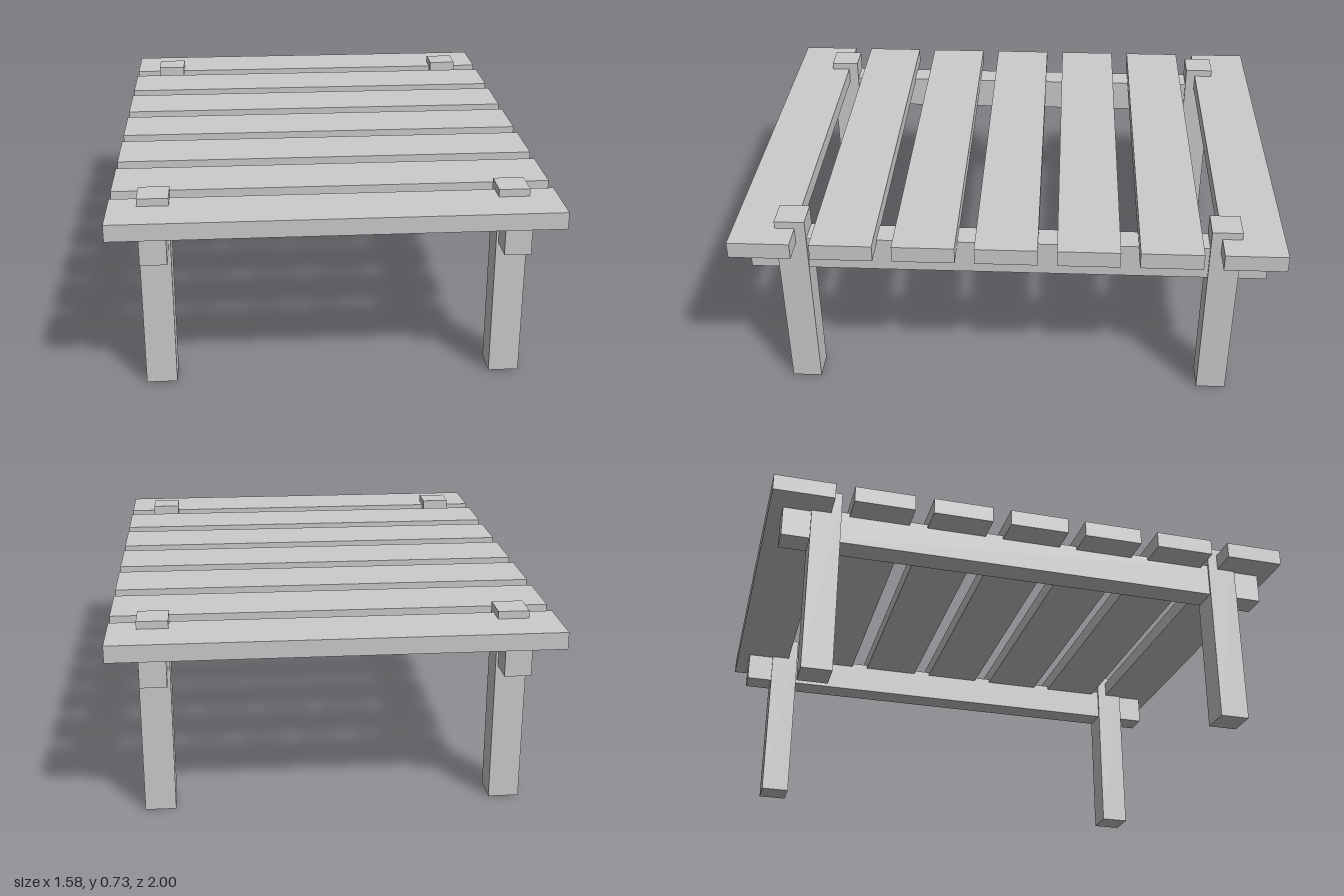
import * as THREE from 'three';

export function createModel() {
  const model = new THREE.Group();
  const material = new THREE.MeshStandardMaterial({ color: 0xcccccc, flatShading: true });

  // Adds a box centred on x and z, spanning bottom to top in y
  function addBox(name, width, depth, bottom, top, x, z) {
    const mesh = new THREE.Mesh(new THREE.BoxGeometry(width, top - bottom, depth), material);
    mesh.name = name;
    mesh.position.set(x, (bottom + top) / 2, z);
    model.add(mesh);
  }

  // Seven slats across the top
  const slatCount = 7;
  const slatDepth = 0.226;
  const slatSpacing = (2 - slatDepth) / (slatCount - 1);
  for (let i = 0; i < slatCount; i++) {
    addBox('slat' + (i + 1), 1.58, slatDepth, 0.638, 0.7, 0, -1 + slatDepth / 2 + i * slatSpacing);
  }

  // A rail on each side, with legs that pass through it and stand proud of the slats
  for (const side of [-1, 1]) {
    const sideName = side > 0 ? 'left' : 'right';
    addBox(sideName + 'Rail', 0.095, 1.9, 0.523, 0.653, side * 0.633, 0);
    for (const end of [-1, 1]) {
      addBox(sideName + (end > 0 ? 'Front' : 'Back') + 'Leg', 0.111, 0.111, 0, 0.728, side * 0.633, end * 0.791);
    }
  }

  return model;
}
